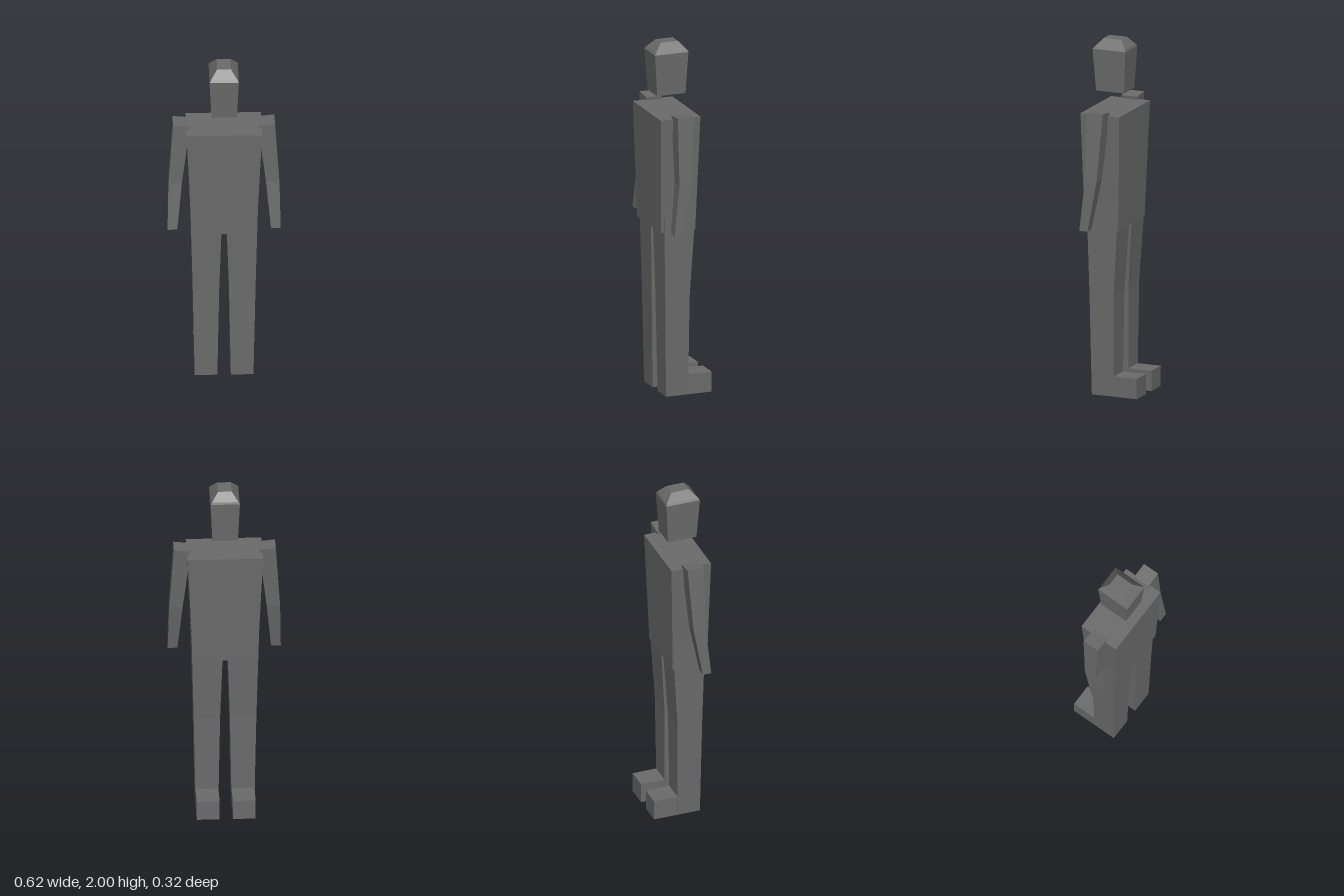
import * as THREE from 'three';

const grey = new THREE.MeshStandardMaterial({ color: 0x6b6b6b, flatShading: true });
grey.name = 'grey';

// Boxy limb lofted through rectangles [y, x0, x1, z0, z1, y at x1], bottom to top.
// side = -1 mirrors the rectangles across x.
function loft(name, rings, side = 1) {
  const positions = [];
  const corners = rings.map(([y, a, b, z0, z1, yb = y]) => {
    const [x0, x1, y0, y1] = side > 0 ? [a, b, y, yb] : [-b, -a, yb, y];
    return [[x0, y0, z1], [x1, y1, z1], [x1, y1, z0], [x0, y0, z0]];
  });
  const quad = (a, b, c, d) => positions.push(...a, ...b, ...c, ...a, ...c, ...d);
  for (let i = 0; i < corners.length - 1; i++) {
    const lo = corners[i], hi = corners[i + 1];
    for (let k = 0; k < 4; k++) {
      const n = (k + 1) % 4;
      quad(lo[k], lo[n], hi[n], hi[k]);
    }
  }
  const base = corners[0], top = corners[corners.length - 1];
  quad(base[3], base[2], base[1], base[0]);
  quad(top[0], top[1], top[2], top[3]);
  const geometry = new THREE.BufferGeometry();
  geometry.setAttribute('position', new THREE.Float32BufferAttribute(positions, 3));
  geometry.computeVertexNormals();
  const mesh = new THREE.Mesh(geometry, grey);
  mesh.name = name;
  return mesh;
}

export function createModel() {
  const model = new THREE.Group();
  model.name = 'figure';

  // Floating head with a bevelled crown
  model.add(loft('head', [
    [1.705, -0.07, 0.07, -0.042, 0.126],
    [1.943, -0.081, 0.081, -0.055, 0.143],
    [1.955, -0.073, 0.073, -0.05, 0.134],
    [2.0, -0.038, 0.038, -0.01, 0.093],
  ]));

  // Tapered torso
  model.add(loft('torso', [
    [0.95, -0.178, 0.178, -0.056, 0.146],
    [1.605, -0.208, 0.208, -0.075, 0.159],
  ]));

  for (const [label, side] of [['left', 1], ['right', -1]]) {
    // Arm, bent at the elbow, with a tilted shoulder
    model.add(loft(label + 'Arm', [
      [0.968, 0.258, 0.312, 0.07, 0.12, 0.964],
      [1.25, 0.232, 0.306, 0.019, 0.089, 1.25],
      [1.622, 0.188, 0.281, -0.008, 0.088, 1.632],
    ], side));

    // Leg, with a seam at the knee
    model.add(loft(label + 'Leg', [
      [0, 0.037, 0.162, -0.02, 0.111],
      [0.57, 0.027, 0.173, -0.025, 0.12],
      [1.1, 0.01, 0.186, -0.058, 0.132],
    ], side));

    // Foot
    model.add(loft(label + 'Foot', [
      [0, 0.037, 0.162, -0.16, -0.02],
      [0.115, 0.036, 0.163, -0.16, -0.02],
    ], side));
  }
  return model;
}
